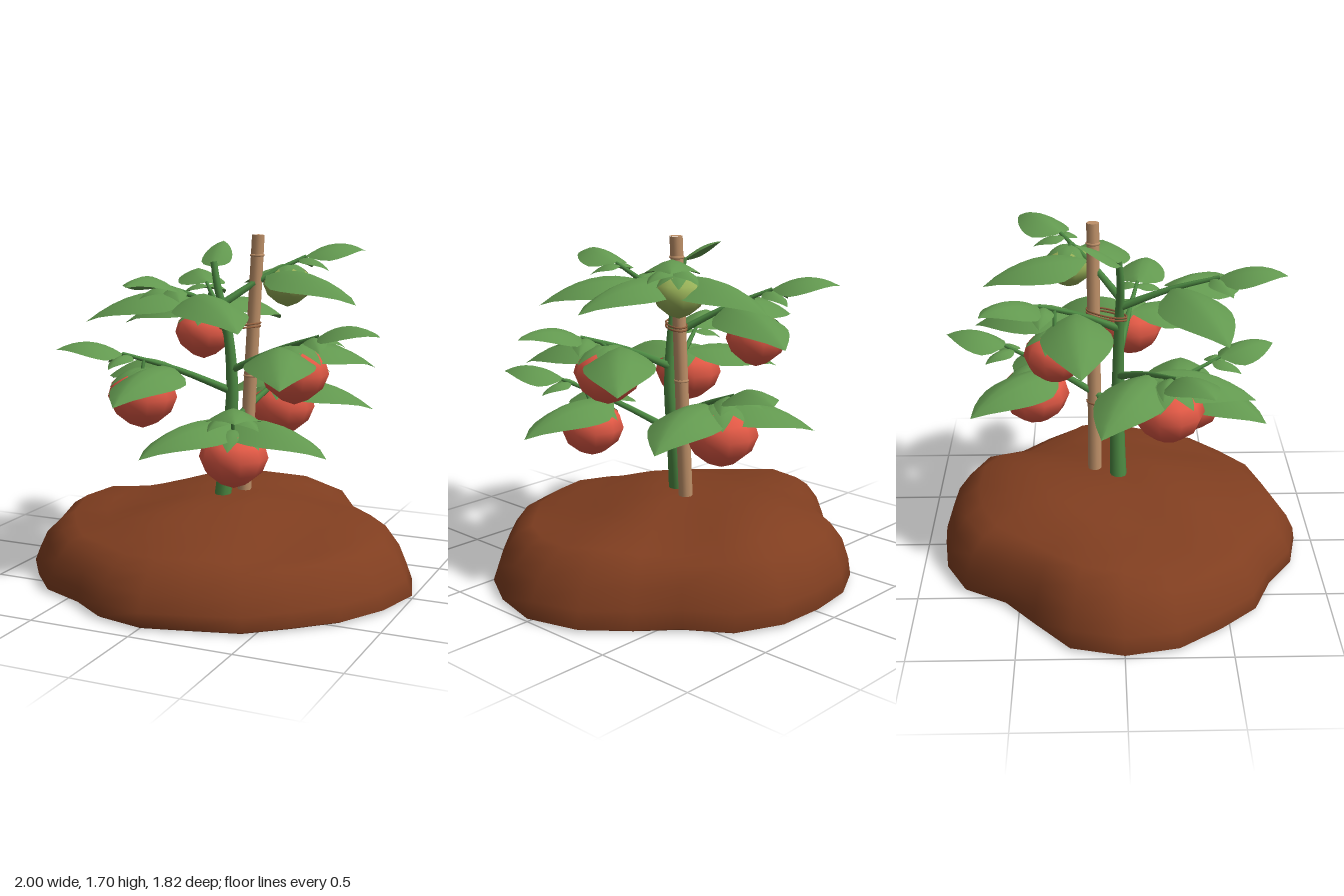
import * as THREE from 'three';

const mat = (name, color, side = THREE.FrontSide) => {
  const m = new THREE.MeshStandardMaterial({ color, side });
  m.name = name;
  return m;
};
const V = (x, y, z) => new THREE.Vector3(x, y, z);

export function createModel() {
  const M = {
    soil: mat('soil brown', 0x803e20),
    stem: mat('stem green', 0x4d8a43),
    leaf: mat('leaf green', 0x62984f, THREE.DoubleSide),
    ripe: mat('ripe red', 0xe45a46),
    unripe: mat('unripe green', 0x98b158),
    stake: mat('stake tan', 0xbe9068),
    twine: mat('twine brown', 0x96623f),
  };
  const root = new THREE.Group();
  root.name = 'tomatoPlant';
  const add = (parent, name, geo, material) => {
    const mesh = new THREE.Mesh(geo, material);
    mesh.name = name;
    parent.add(mesh);
    return mesh;
  };

  // Tube along a curve whose radius shrinks from r0 to r1
  const taperTube = (points, r0, r1, segs = 10, sides = 8) => {
    const curve = new THREE.CatmullRomCurve3(points);
    const geo = new THREE.TubeGeometry(curve, segs, 1, sides);
    const p = geo.attributes.position;
    const v = V(0, 0, 0);
    for (let i = 0; i < p.count; i++) {
      const t = Math.floor(i / (sides + 1)) / segs;
      const c = curve.getPointAt(t);
      v.fromBufferAttribute(p, i).sub(c).multiplyScalar(r0 + (r1 - r0) * t).add(c);
      p.setXYZ(i, v.x, v.y, v.z);
    }
    return geo;
  };

  // Ovate blade running along +x, arched along its length, edges curling down
  const leafGeo = (len, width, rise, droop, fold) => {
    const outline = [0.15, 0.72, 0.96, 1, 0.95, 0.82, 0.62, 0.35, 0];
    const geo = new THREE.PlaneGeometry(2, 1, 6, 8);
    const p = geo.attributes.position;
    for (let i = 0; i < p.count; i++) {
      const t = p.getY(i) + 0.5;
      const s = p.getX(i) * outline[Math.round(t * 8)];
      const curl = fold * Math.abs(s) ** 1.4 * width / 2;
      p.setXYZ(i, len * t, rise * t - droop * t * t - curl, s * width / 2);
    }
    geo.computeVertexNormals();
    return geo;
  };
  const addLeaf = (parent, name, base, angle, ...shape) => {
    const leaf = add(parent, name, leafGeo(...shape), M.leaf);
    leaf.position.copy(base);
    leaf.rotation.y = -angle;
  };

  // Soil mound: rings scaled from an uneven outline, 15 degrees apart
  const outline = [1, 0.97, 0.94, 0.9, 0.91, 0.88, 0.91, 0.89, 0.84, 0.9, 0.92, 0.98,
    1, 0.97, 0.85, 0.8, 0.89, 0.91, 0.91, 0.93, 0.92, 0.84, 0.88, 0.96];
  const rings = [[0, 0], [0.97, 0], [1, 0.015], [0.99, 0.09], [0.95, 0.18], [0.88, 0.26], [0.79, 0.315],
    [0.62, 0.355], [0.45, 0.385], [0.24, 0.405], [0.1, 0.41], [0, 0.41]];
  const n = outline.length, pos = [], idx = [];
  rings.forEach(([f, y], j) => {
    for (let i = 0; i < n; i++) {
      const a = i / n * Math.PI * 2;
      const flank = y > 0.05 && y < 0.3 ? 0.02 * Math.cos(a) ** 2 : 0;
      const r = f * (outline[i] * f + 0.92 * (1 - f)) * (1 - flank);
      const x = Math.cos(a) * r, z = Math.sin(a) * r;
      const bump = y > 0.2 ? 0.012 * Math.sin(5 * x + 9 * z) * Math.min(1, f * 3) : 0;
      const shoulder = y > 0.3 ? 0.035 * Math.exp(-(((Math.abs(x) - 0.5) / 0.2) ** 2)) : 0;
      const tilt = y > 0.05 ? 0.07 * z * y / 0.4 : 0;
      pos.push(x, y + bump - shoulder - tilt, z);
      if (j > 0) {
        const b = (j - 1) * n, c = j * n, k = (i + 1) % n;
        idx.push(b + i, c + i, b + k, b + k, c + i, c + k);
      }
    }
  });
  const soil = new THREE.BufferGeometry();
  soil.setAttribute('position', new THREE.Float32BufferAttribute(pos, 3));
  soil.setIndex(idx);
  soil.computeVertexNormals();
  add(root, 'soilMound', soil, M.soil);

  // Main stem with its top shoot
  const stemPts = [V(0, 0.36, -0.01), V(0.03, 0.65, -0.015), V(0.055, 0.95, -0.01),
    V(0.03, 1.25, -0.005), V(-0.02, 1.45, 0), V(-0.045, 1.57, -0.01)];
  const stemCurve = new THREE.CatmullRomCurve3(stemPts);
  const stemAt = (y) => stemCurve.getPoint(
    Array.from({ length: 101 }, (_, i) => i / 100).find((t) => stemCurve.getPoint(t).y >= y));
  add(root, 'mainStem', taperTube(stemPts, 0.043, 0.016, 20, 10), M.stem);
  addLeaf(root, 'topShootLeaf', V(-0.045, 1.55, 0), -1.75, 0.22, 0.15, 0.2, 0.09, 0.4);

  // Support stake with node rings
  const stakeX = (y) => 0.07 + (y - 0.4) * 0.054;
  const stakeZ = -0.13;
  add(root, 'stake', taperTube([V(stakeX(0.34), 0.34, stakeZ), V(stakeX(1), 1, stakeZ), V(stakeX(1.7), 1.7, stakeZ)],
    0.035, 0.031, 6, 10), M.stake);
  const cap = add(root, 'stakeTop', new THREE.CircleGeometry(0.031, 10), M.stake);
  cap.position.set(stakeX(1.7), 1.7, stakeZ);
  cap.rotation.x = -Math.PI / 2;
  for (const y of [1.0, 1.6]) {
    const ring = add(root, 'stakeRing', new THREE.TorusGeometry(0.03, 0.007, 6, 12), M.stake);
    ring.position.set(stakeX(y), y, stakeZ);
    ring.rotation.x = Math.PI / 2;
  }

  // Twine loops tying the stem to the stake
  for (const y of [0.78, 1.25, 1.265]) {
    const s = stemAt(y), k = V(stakeX(y), y, stakeZ);
    const mid = s.clone().add(k).multiplyScalar(0.5);
    const along = k.clone().sub(s).setY(0);
    const half = along.length() / 2 + 0.04;
    along.normalize();
    const pts = Array.from({ length: 12 }, (_, i) => {
      const a = i / 12 * Math.PI * 2, u = Math.cos(a) * half, w = Math.sin(a) * 0.045;
      return V(mid.x + along.x * u - along.z * w, y, mid.z + along.z * u + along.x * w);
    });
    add(root, 'twineTie', new THREE.TubeGeometry(new THREE.CatmullRomCurve3(pts, true), 24, 0.005, 5, true), M.twine);
  }

  // Tomato with draped sepals and a short stalk up to its branch
  const profile = [[0, -0.86], [0.42, -0.7], [0.82, -0.38], [1, 0.05], [0.88, 0.45], [0.55, 0.73], [0.2, 0.78], [0, 0.72]]
    .map(([x, y]) => new THREE.Vector2(x, y));
  const addTomato = (parent, center, r, material, hook) => {
    const g = new THREE.Group();
    g.name = 'tomato';
    g.position.copy(center);
    parent.add(g);
    add(g, 'fruit', new THREE.LatheGeometry(profile, 10), material).scale.setScalar(r);
    for (let i = 0; i < 6; i++) {
      addLeaf(g, 'sepal', V(0, r * 0.86, 0), i * Math.PI / 3 + 0.3, r * 0.95, r * 0.62, r * 0.17, r * 0.65, 0.2);
    }
    const top = center.clone().add(V(0, r * 0.72, 0));
    add(parent, 'fruitStalk', taperTube([hook, hook.clone().lerp(top, 0.5).add(V(0, 0.01, 0)), top], 0.01, 0.01, 4, 6), M.stem);
  };

  // Branches: start height, end [x, y, z] where the end leaf begins, fruit [x, y, z, radius]
  const branches = [
    { y0: 0.92, end: [-0.42, 1.13, 0.25], fruit: [-0.325, 0.91, 0.22, 0.172] },
    { y0: 1.18, end: [-0.26, 1.43, -0.39], fruit: [-0.24, 1.17, -0.31, 0.15] },
    { y0: 1.36, end: [0.33, 1.59, -0.29], fruit: [0.25, 1.445, -0.25, 0.123], unripe: true },
    { y0: 1.03, end: [0.55, 1.25, 0.1], fruit: [0.41, 1.05, 0.06, 0.165] },
    { y0: 0.7, end: [0.29, 0.93, 0.52], fruit: [0.23, 0.69, 0.37, 0.163] },
    { y0: 0.76, end: [0.23, 1.03, -0.58], fruit: [0.15, 0.79, -0.43, 0.174] },
    { y0: 1.31, end: [-0.055, 1.49, 0.47] },
  ];
  for (const { y0, end, fruit, unripe } of branches) {
    const g = new THREE.Group();
    g.name = 'branch';
    root.add(g);
    const a = stemAt(y0), b = V(...end);
    const mid = a.clone().lerp(b, 0.5).add(V(0, 0.015, 0));
    add(g, 'branchStem', taperTube([a, mid, b], 0.02, 0.009, 8, 6), M.stem);
    const angle = Math.atan2(b.z - a.z, b.x - a.x);
    const at = (t) => new THREE.CatmullRomCurve3([a, mid, b]).getPoint(t);
    addLeaf(g, 'endLeaf', b, angle, 0.32, 0.25, 0.22, 0.2, 0.5);
    for (const side of [-1, 1]) {
      addLeaf(g, 'sideLeaf', at(0.56), angle + side * 0.98, 0.51, 0.34, 0.17, 0.29, 0.5);
      addLeaf(g, 'smallLeaf', at(0.92), angle + side * 0.8, 0.16, 0.11, 0.07, 0.12, 0.5);
    }
    if (fruit) {
      const [x, y, z, r] = fruit;
      addTomato(g, V(x, y, z), r, unripe ? M.unripe : M.ripe, at(0.8));
    }
  }
  return root;
}
